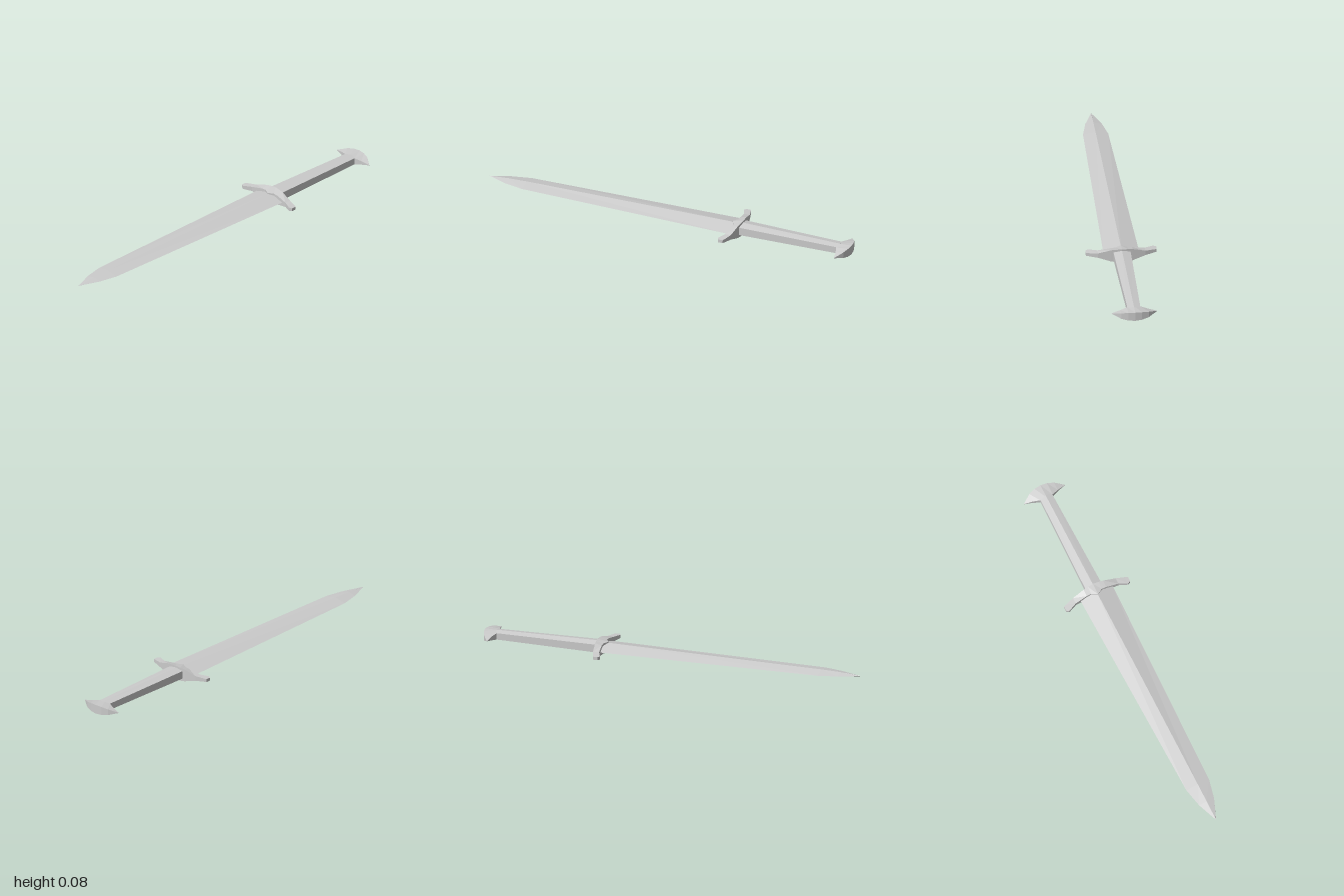
import * as THREE from 'three';

const MID = 0.04; // height of the sword's centre plane

// Skin a list of equal-length rings of [x, y, z], closing both ends.
function loft(rings) {
  const out = [];
  const tri = (a, b, c) => out.push(...a, ...b, ...c);
  const n = rings[0].length;
  for (let i = 0; i < rings.length - 1; i++) {
    for (let j = 0; j < n; j++) {
      const k = (j + 1) % n;
      const [a, b, c, d] = [rings[i][j], rings[i][k], rings[i + 1][k], rings[i + 1][j]];
      tri(a, b, c);
      tri(a, c, d);
    }
  }
  const first = rings[0], last = rings[rings.length - 1];
  for (let j = 1; j < n - 1; j++) {
    tri(first[0], first[j + 1], first[j]);
    tri(last[0], last[j], last[j + 1]);
  }
  const g = new THREE.BufferGeometry();
  g.setAttribute('position', new THREE.Float32BufferAttribute(out, 3));
  g.computeVertexNormals();
  return g;
}

// Mirror right-hand stations [x, zBack, zFront, halfBack, halfFront] and loft across x.
function crossPiece(half) {
  const left = half.slice(1).reverse().map(([x, ...rest]) => [-x, ...rest]);
  return loft([...left, ...half].map(([x, zb, zf, hb, hf]) => [
    [x, MID - hb, zb], [x, MID + hb, zb], [x, MID + hf, zf], [x, MID - hf, zf],
  ]));
}

export function createModel() {
  const group = new THREE.Group();
  group.name = 'sword';
  const steel = new THREE.MeshStandardMaterial({ color: 0xcccccc });
  steel.name = 'steel grey';
  steel.flatShading = true;
  const add = (name, geometry) => {
    const mesh = new THREE.Mesh(geometry, steel);
    mesh.name = name;
    group.add(mesh);
  };

  // Blade: diamond sections [z, half width, half thickness] tapering to the point
  const blade = [
    [-0.38, 0.091, 0.023], [0.79, 0.064, 0.012], [0.89, 0.042, 0.009], [0.995, 0.001, 0.001],
  ];
  add('blade', loft(blade.map(([z, w, h]) => [
    [w, MID, z], [0, MID + h, z], [-w, MID, z], [0, MID - h, z],
  ])));

  // Grip: upright sides with a low ridge above and below
  const grip = [[-0.94, 0.033, 0.017, 0.023], [-0.375, 0.044, 0.021, 0.03]];
  add('grip', loft(grip.map(([z, w, side, ridge]) => [
    [w, MID - side, z], [w, MID + side, z], [0, MID + ridge, z],
    [-w, MID + side, z], [-w, MID - side, z], [0, MID - ridge, z],
  ])));

  // Guard: swept toward the point, thickest in the middle
  add('guard', crossPiece([
    [0, -0.403, -0.345, 0.038, 0.028],
    [0.03, -0.4, -0.362, 0.036, 0.027],
    [0.055, -0.397, -0.362, 0.033, 0.025],
    [0.12, -0.387, -0.355, 0.013, 0.012],
    [0.165, -0.373, -0.335, 0.009, 0.009],
    [0.18, -0.368, -0.342, 0.008, 0.008],
  ]));

  // Pommel: crescent closing to a point on each side
  add('pommel', crossPiece([
    [0, -1, -0.928, 0.024, 0.022],
    [0.035, -0.996, -0.93, 0.022, 0.017],
    [0.07, -0.985, -0.943, 0.016, 0.01],
    [0.115, -0.955, -0.953, 0.001, 0.001],
  ]));

  return group;
}
